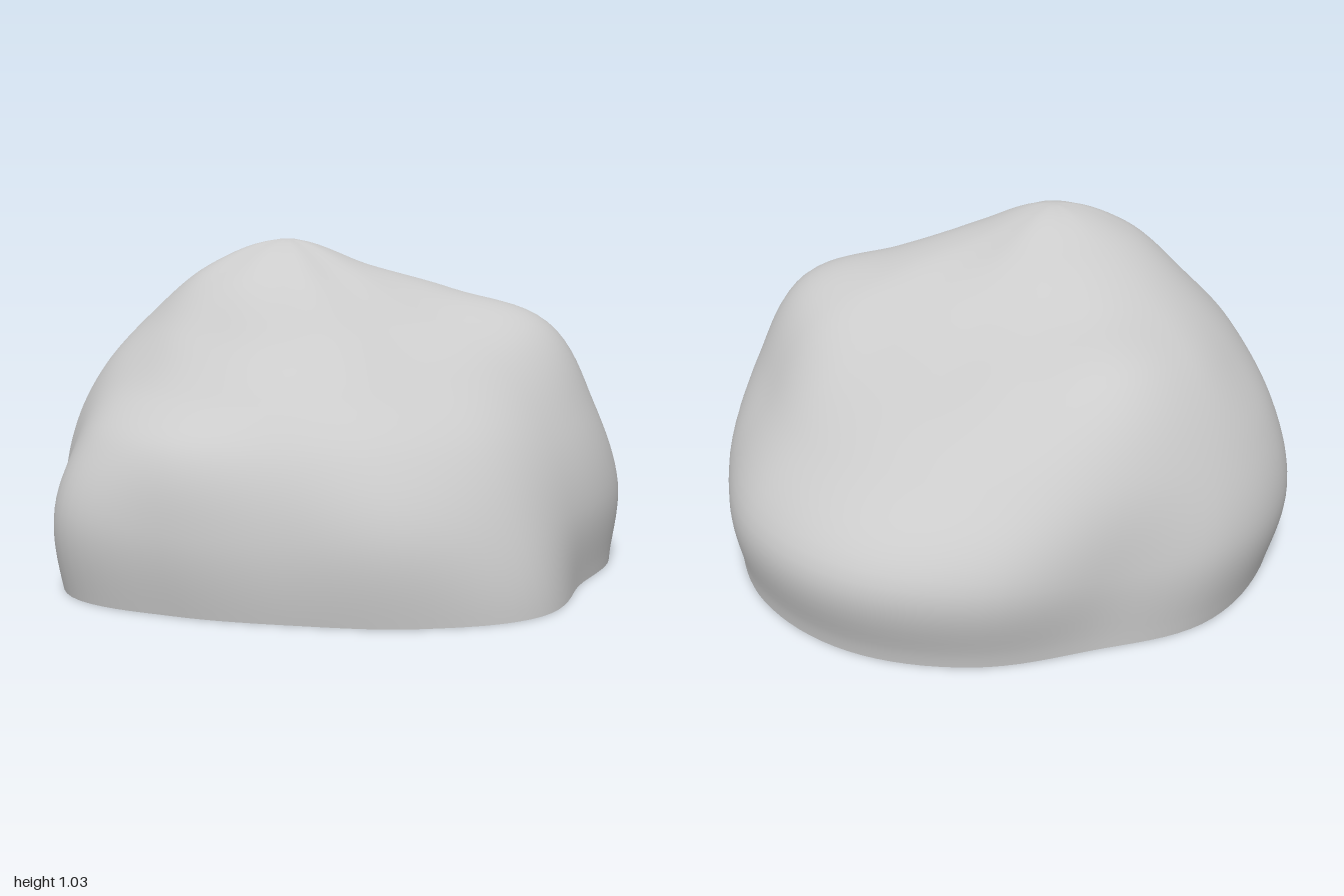
import * as THREE from 'three';

// Distance from the leaning core: one row per 22.5 degrees of heading (from +x
// towards +z), one column per 15 degrees of elevation (0 to 75).
const REACH = [
  [0.94, 1.06, 1.00, 0.96, 0.96, 0.975],
  [0.89, 0.99, 0.99, 1.04, 1.00, 0.98],
  [0.88, 0.97, 1.03, 1.09, 1.00, 0.98],
  [0.85, 0.91, 0.95, 0.97, 0.94, 0.97],
  [0.96, 0.94, 0.92, 0.88, 0.89, 0.95],
  [0.92, 0.93, 0.90, 0.86, 0.87, 0.95],
  [0.87, 0.88, 0.88, 0.85, 0.85, 0.94],
  [0.90, 0.92, 0.92, 0.84, 0.85, 0.95],
  [0.97, 0.98, 0.92, 0.85, 0.88, 0.96],
  [0.87, 0.87, 0.87, 0.88, 0.90, 0.98],
  [0.88, 0.90, 0.90, 0.90, 0.92, 0.98],
  [0.90, 0.96, 0.96, 0.94, 0.94, 0.98],
  [0.92, 0.985, 1.00, 1.00, 0.96, 0.98],
  [0.88, 0.95, 1.02, 1.04, 0.97, 0.98],
  [0.93, 1.05, 1.03, 0.99, 0.95, 0.98],
  [0.96, 1.10, 1.02, 0.95, 0.94, 0.98],
];
// Summit height and how far the summit sits from the middle along x
const TOP = 1.03, LEAN = -0.2;
const ROWS = REACH.length, AROUND = 128, UP = 48;

// Smooth curve through b and c with neighbours a and d
function spline(a, b, c, d, t) {
  return b + 0.5 * t * (c - a + t * (2 * a - 5 * b + 4 * c - d + t * (3 * (b - c) + d - a)));
}

// Sample on the grid, passing over the summit to the opposite heading
function sample(row, col) {
  if (col > 6) return sample(row + ROWS / 2, 12 - col);
  if (col === 6) return TOP;
  return REACH[(row + ROWS) % ROWS][Math.max(col, 0)];
}

function reach(u, v) {
  const i = Math.floor(u), j = Math.floor(v);
  const along = [-1, 0, 1, 2].map((k) => spline(
    sample(i + k, j - 1), sample(i + k, j), sample(i + k, j + 1), sample(i + k, j + 2), v - j));
  return spline(...along, u - i);
}

function buildGeometry(positions, index) {
  const geometry = new THREE.BufferGeometry();
  geometry.setAttribute('position', new THREE.Float32BufferAttribute(positions, 3));
  geometry.setIndex(index);
  geometry.computeVertexNormals();
  return geometry;
}

export function createModel() {
  const group = new THREE.Group();
  group.name = 'boulder';
  const material = new THREE.MeshStandardMaterial({ color: 0xcccccc, roughness: 0.9 });

  // Lumpy weathered dome, closed at the summit by one vertex
  const points = [], faces = [];
  for (let j = 0; j < UP; j++) {
    const elevation = (j / UP) * Math.PI / 2;
    for (let i = 0; i < AROUND; i++) {
      const heading = (i / AROUND) * Math.PI * 2;
      const r = reach((i / AROUND) * ROWS, (j / UP) * 6);
      const flat = r * Math.cos(elevation), rise = Math.sin(elevation);
      points.push(LEAN * rise + flat * Math.cos(heading), r * rise, flat * Math.sin(heading));
    }
  }
  const summit = AROUND * UP;
  points.push(LEAN, TOP, 0);
  for (let j = 0; j < UP; j++) {
    for (let i = 0; i < AROUND; i++) {
      const next = (i + 1) % AROUND;
      const a = j * AROUND + i, b = j * AROUND + next;
      if (j === UP - 1) faces.push(a, summit, b);
      else faces.push(a, a + AROUND, b, b, a + AROUND, b + AROUND);
    }
  }
  const dome = new THREE.Mesh(buildGeometry(points, faces), material);
  dome.name = 'rockSurface';

  // Flat underside with its own normals for a sharp rim
  const rim = points.slice(0, AROUND * 3).concat(0, 0, 0);
  const fan = [];
  for (let i = 0; i < AROUND; i++) fan.push(AROUND, i, (i + 1) % AROUND);
  const base = new THREE.Mesh(buildGeometry(rim, fan), material);
  base.name = 'flatUnderside';

  group.add(dome, base);
  return group;
}
